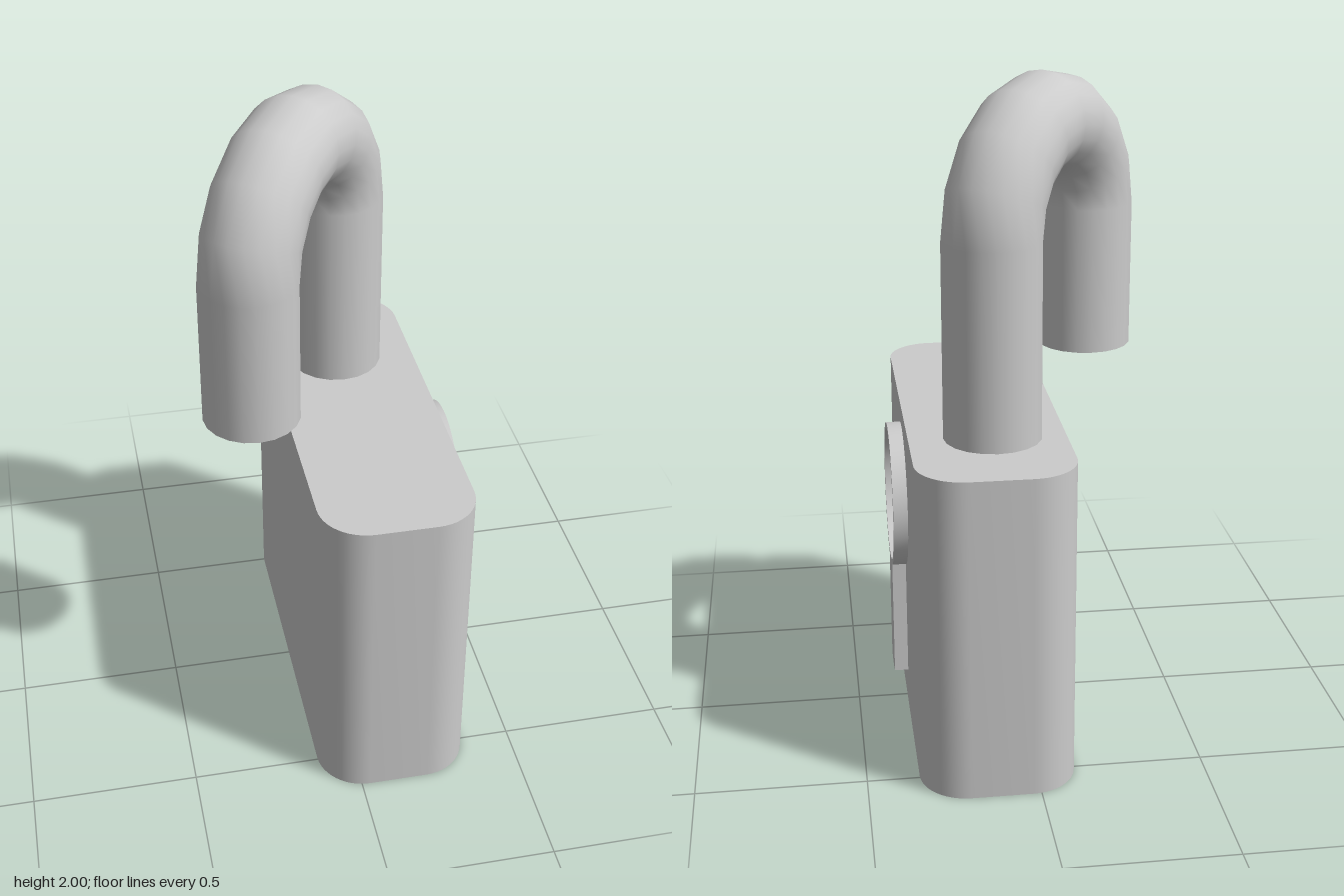
import * as THREE from 'three';
import { toCreasedNormals } from 'three/addons/utils/BufferGeometryUtils.js';

export function createModel() {
  const model = new THREE.Group();
  model.name = 'padlock';
  const material = new THREE.MeshStandardMaterial({ color: 0xcccccc });

  const add = (parent, name, geometry, x = 0, y = 0, z = 0) => {
    const mesh = new THREE.Mesh(geometry, material);
    mesh.name = name;
    mesh.position.set(x, y, z);
    parent.add(mesh);
    return mesh;
  };
  const extrude = (shape, depth, curveSegments) => toCreasedNormals(
    new THREE.ExtrudeGeometry(shape, { depth, curveSegments, bevelEnabled: false }), 0.6);

  // Body: rounded rectangle seen from above, extruded upwards
  const w = 0.23, d = 0.63, r = 0.14;
  const outline = new THREE.Shape();
  outline.absarc(w - r, d - r, r, 0, Math.PI / 2);
  outline.absarc(r - w, d - r, r, Math.PI / 2, Math.PI);
  outline.absarc(r - w, r - d, r, Math.PI, Math.PI * 1.5);
  outline.absarc(w - r, r - d, r, Math.PI * 1.5, Math.PI * 2);
  add(model, 'body', extrude(outline, 0.985, 6).rotateX(-Math.PI / 2), 0.115);

  // Shackle: swung open around its fixed leg
  const shackle = new THREE.Group();
  shackle.name = 'shackle';
  shackle.position.set(-0.073, 0, -0.055);
  shackle.rotation.y = Math.atan2(0.47, 0.345);
  model.add(shackle);
  const bend = 0.291, rod = 0.144, bendY = 1.565;
  const leg = (name, x, bottom) => add(shackle, name,
    new THREE.CylinderGeometry(rod, rod, bendY - bottom, 20, 1, true), x, (bendY + bottom) / 2);
  add(shackle, 'shackleBend', new THREE.TorusGeometry(bend, rod, 20, 8, Math.PI), 0, bendY);
  leg('fixedLeg', bend, 0.97);
  leg('freeLeg', -bend, 1.12);
  add(shackle, 'freeLegTip', new THREE.ConeGeometry(rod, 0.035, 20, 1, true).rotateX(Math.PI),
    -bend, 1.1025);

  // Keyhole plate on the right-hand face: rim, recessed disc and raised bar
  const plate = new THREE.Group();
  plate.name = 'keyholePlate';
  plate.position.set(0.34, 0.703, 0);
  plate.rotation.y = Math.PI / 2;
  model.add(plate);
  const rim = new THREE.Shape().absarc(0, 0, 0.22, 0, Math.PI * 2);
  rim.holes.push(new THREE.Path().absarc(0, 0, 0.203, 0, Math.PI * 2, true));
  add(plate, 'keyholeRim', extrude(rim, 0.048, 24));
  add(plate, 'keyholeDisc', new THREE.CircleGeometry(0.204, 24), 0, 0, 0.012);

  const bar = new THREE.Shape();
  bar.moveTo(0.065, -0.58);
  bar.lineTo(0.065, -0.209);
  bar.quadraticCurveTo(0, -0.222, -0.065, -0.209);
  bar.lineTo(-0.065, -0.58);
  bar.quadraticCurveTo(0, -0.596, 0.065, -0.58);
  add(plate, 'keyholeBar', extrude(bar, 0.047, 6));

  return model;
}
